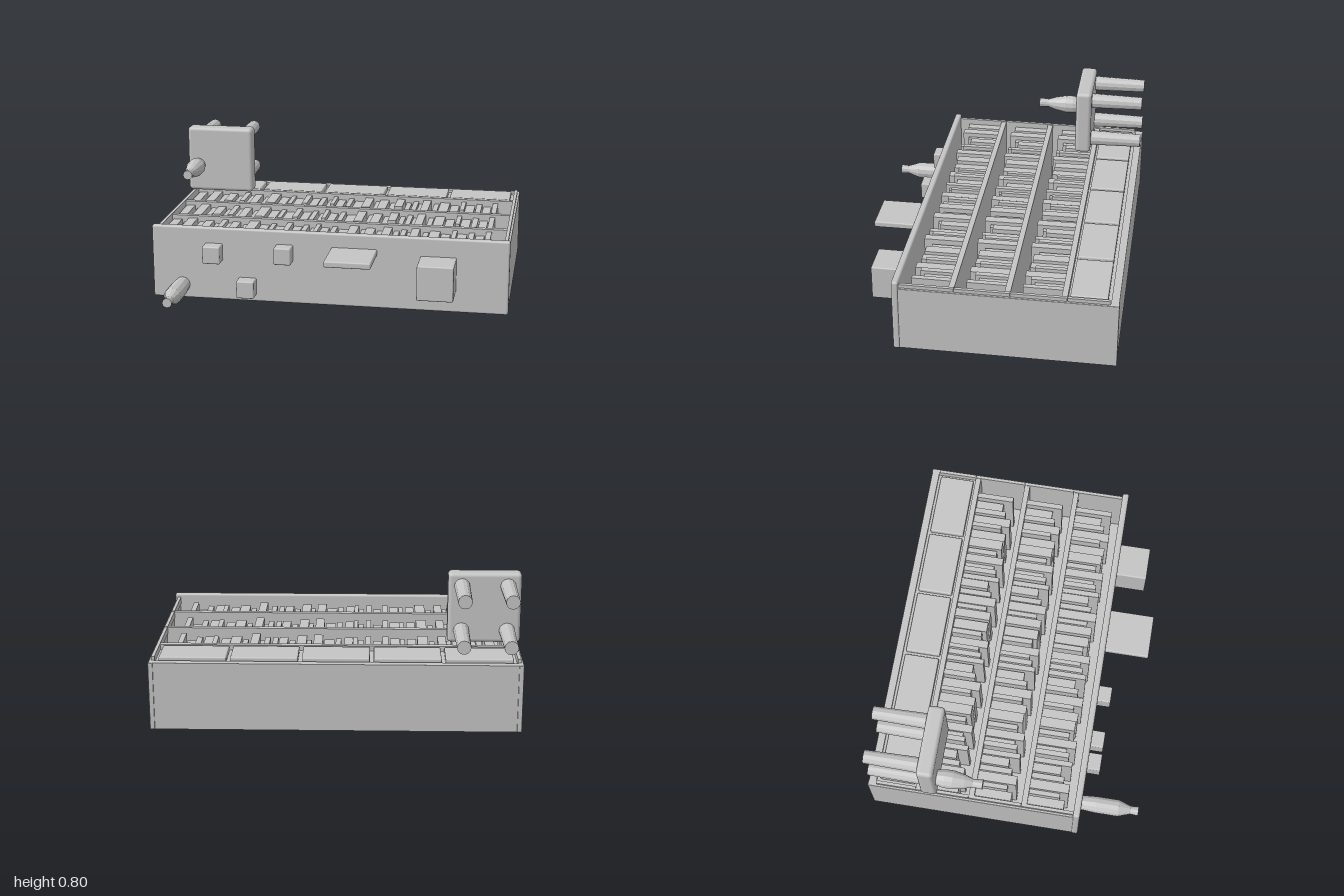
import * as THREE from 'three';
import { RoundedBoxGeometry } from 'three/addons/geometries/RoundedBoxGeometry.js';

const grey = new THREE.MeshStandardMaterial({ color: 0xc4c4c4 });
grey.name = 'plain grey';

export function createModel() {
  const model = new THREE.Group();
  model.name = 'sortingTray';

  // Box given by its limits on each axis, with an optional edge radius
  function box(name, [x0, x1], [y0, y1], [z0, z1], r = 0) {
    const w = x1 - x0, h = y1 - y0, d = z1 - z0;
    const geo = r ? new RoundedBoxGeometry(w, h, d, 3, r) : new THREE.BoxGeometry(w, h, d);
    const mesh = new THREE.Mesh(geo, grey);
    mesh.name = name;
    mesh.position.set((x0 + x1) / 2, (y0 + y1) / 2, (z0 + z1) / 2);
    model.add(mesh);
    return mesh;
  }

  // Turned part along z: profile of [radius, z]
  function turned(name, x, y, profile) {
    const pts = profile.map(([r, z]) => new THREE.Vector2(r, z));
    const geo = new THREE.LatheGeometry(pts, 12).toNonIndexed();
    geo.rotateX(Math.PI / 2);
    geo.computeVertexNormals();
    const mesh = new THREE.Mesh(geo, grey);
    mesh.name = name;
    mesh.position.set(x, y, 0);
    model.add(mesh);
  }

  // Case: floor, back, sides and taller front panel
  box('floor', [-0.985, 0.985], [0.005, 0.03], [-0.75, 0.42]);
  box('backWall', [-0.975, 0.975], [0.005, 0.38], [-0.757, -0.715]);
  for (const s of [-1, 1]) {
    const side = box('sideWall', [-0.013, 0.013], [0.005, 0.38], [-0.76, 0.41], 0.003);
    side.position.x = s * 0.983;
  }
  box('frontPanel', [-1, 1], [0, 0.42], [0.4, 0.438], 0.012);

  // Dividers and the rails between them on both sides
  const dividers = [-0.489, -0.19, 0.107];
  const wall = 0.031;
  for (const z of dividers) {
    box('divider', [-0.975, 0.975], [0.03, 0.395], [z, z + wall]);
  }
  const joints = [-0.712, ...dividers, 0.402];
  for (let i = 0; i < 4; i++) {
    for (const s of [-1, 1]) {
      const rail = box('sideRail', [-0.009, 0.009], [0.36, 0.4], [joints[i] + 0.001, joints[i + 1] - 0.001]);
      rail.position.x = s * 0.975;
    }
  }

  // Row of lids along the back
  box('lidDeck', [-0.97, 0.97], [0.03, 0.365], [-0.715, -0.489]);
  for (let i = 0; i < 5; i++) {
    const x = (i - 2) * 0.383;
    box('lid', [x - 0.181, x + 0.181], [0.36, 0.395], [-0.698, -0.5], 0.008);
  }

  // Three rows of upright cards, in a repeating run of widths and depths
  const starts = [0, 0.064, 0.102, 0.16, 0.203, 0.235, 0.262, 0.326, 0.364, 0.428, 0.492];
  const widths = [0.053, 0.032, 0.048, 0.03, 0.03, 0.024, 0.046, 0.03, 0.058, 0.05, 0.026];
  const depths = [0.219, 0.182, 0.159, 0.214, 0.189, 0.172, 0.22, 0.172, 0.197, 0.204, 0.172];
  const heights = [0.38, 0.36, 0.37, 0.355];
  for (const z of dividers) {
    for (let i = -2; i < 37; i++) {
      const k = (i + 11) % 11;
      const x = -0.866 + Math.floor(i / 11) * 0.519 + starts[k];
      box('card', [x, x + widths[k]], [0.03, heights[(i + 4) % 4]], [z + wall, z + wall + depths[k]]);
    }
  }

  // Blocks on the front panel
  const zFront = 0.425;
  box('smallBlock', [-0.695, -0.595], [0.23, 0.33], [zFront, 0.512], 0.008);
  box('smallBlock', [-0.29, -0.195], [0.245, 0.342], [zFront, 0.512], 0.008);
  box('smallBlock', [-0.505, -0.405], [0.038, 0.138], [zFront, 0.512], 0.008);
  box('shelf', [0.02, 0.275], [0.305, 0.34], [zFront, 0.69], 0.008);
  box('largeBlock', [0.513, 0.712], [0.118, 0.315], [zFront, 0.613], 0.008);
  turned('frontKnob', -0.83, 0.08, [
    [0, 0.425], [0.042, 0.425], [0.049, 0.52], [0.049, 0.65], [0.024, 0.72], [0.027, 0.765], [0, 0.765]]);

  // Upright plate at the back with four pegs and a knob
  box('plate', [-1, -0.602], [0.408, 0.8], [-0.458, -0.365], 0.022);
  for (const x of [-0.926, -0.677]) {
    for (const y of [0.478, 0.728]) {
      turned('peg', x, y, [[0, -0.757], [0.038, -0.757], [0.044, -0.45], [0, -0.45]]);
    }
  }
  turned('plateKnob', -0.937, 0.567, [
    [0, -0.37], [0.042, -0.37], [0.053, -0.32], [0.053, -0.275], [0.04, -0.21],
    [0.024, -0.165], [0.028, -0.11], [0, -0.11]]);

  return model;
}
